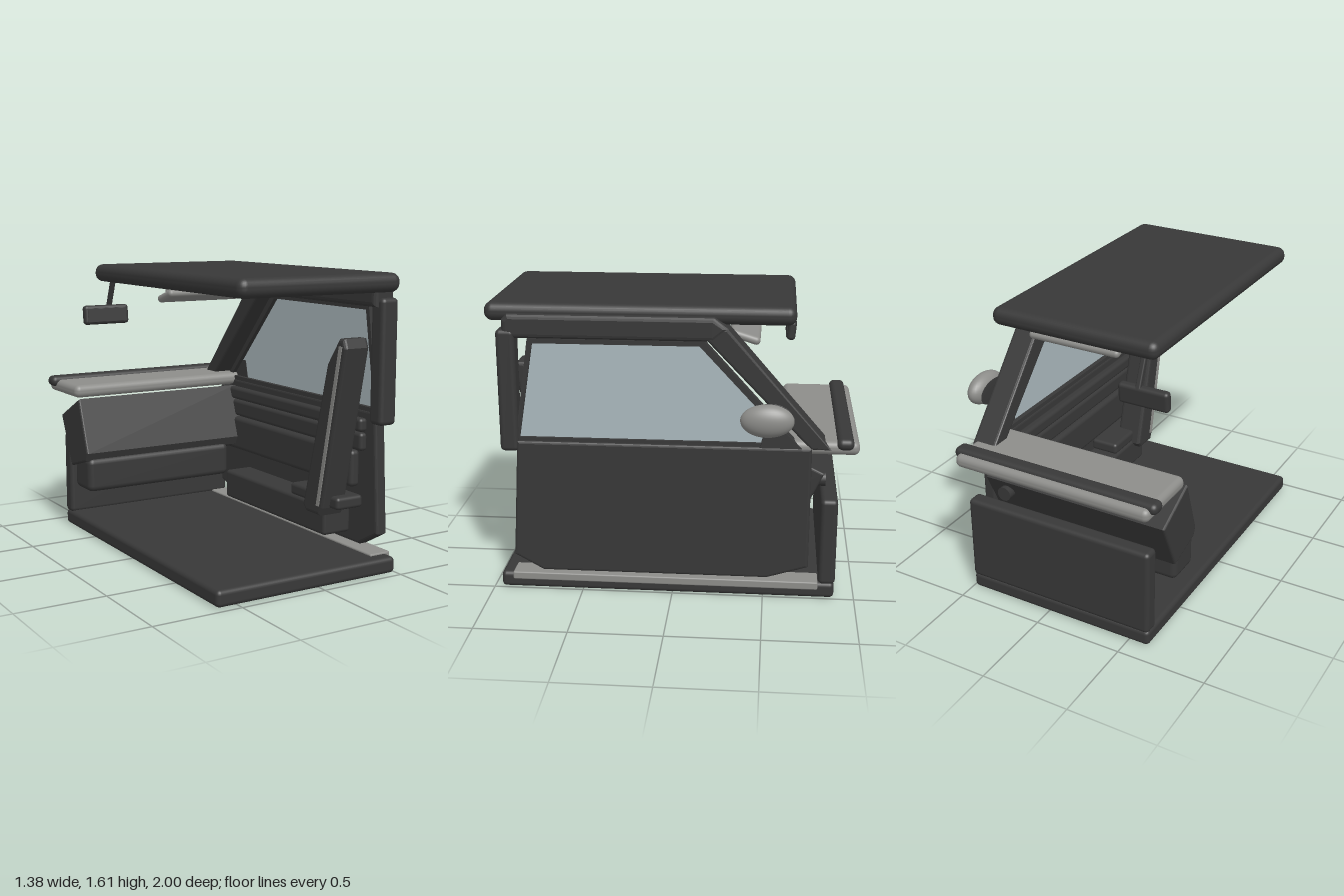
import * as THREE from 'three';
import { RoundedBoxGeometry } from 'three/addons/geometries/RoundedBoxGeometry.js';

const mat = (name, color, side = THREE.FrontSide) => {
  const m = new THREE.MeshStandardMaterial({ color, side });
  m.name = name;
  return m;
};

export function createModel() {
  const root = new THREE.Group();
  root.name = 'vehicleCabin';
  const dark = mat('charcoal', 0x383838);
  const grey = mat('warmGrey', 0x8d8d8a);
  const glass = mat('paleGlass', 0xabb9be, THREE.DoubleSide);

  const add = (name, geo, m) => {
    const mesh = new THREE.Mesh(geo, m);
    mesh.name = name;
    root.add(mesh);
    return mesh;
  };

  // Rounded box from min/max limits on each axis
  const slab = (name, m, [x0, x1], [y0, y1], [z0, z1], r = 0.02) => {
    const w = x1 - x0, h = y1 - y0, d = z1 - z0;
    const mesh = add(name, new RoundedBoxGeometry(w, h, d, 3, Math.min(r, w / 2.01, h / 2.01, d / 2.01)), m);
    mesh.position.set((x0 + x1) / 2, (y0 + y1) / 2, (z0 + z1) / 2);
    return mesh;
  };

  // Side profile of [z, y] points extruded across x, with bevelled edges
  const profile = (name, m, pts, x0, x1, bevel = 0, holePts) => {
    const v = (list) => list.map(([z, y]) => new THREE.Vector2(-z, y));
    const shape = new THREE.Shape(v(pts));
    if (holePts) shape.holes.push(new THREE.Path(v(holePts)));
    const geo = new THREE.ExtrudeGeometry(shape, {
      depth: x1 - x0 - 2 * bevel, bevelEnabled: bevel > 0,
      bevelSize: bevel, bevelThickness: bevel, bevelOffset: -bevel, bevelSegments: 3,
    });
    geo.rotateY(Math.PI / 2);
    geo.translate(x0 + bevel, 0, 0);
    return add(name, geo, m);
  };

  // Round rod between two points
  const rod = (name, m, a, b, r) => {
    const p = new THREE.Vector3(...a), q = new THREE.Vector3(...b), d = q.clone().sub(p);
    const mesh = add(name, new THREE.CylinderGeometry(r, r, d.length(), 20), m);
    mesh.position.copy(p).add(q).multiplyScalar(0.5);
    mesh.quaternion.setFromUnitVectors(new THREE.Vector3(0, 1, 0), d.normalize());
    return mesh;
  };

  // Floor, firewall and sill
  slab('floor', dark, [-0.62, 0.495], [0, 0.09], [-0.89, 0.96], 0.025);
  slab('firewall', dark, [-0.62, 0.495], [0.08, 0.575], [-0.895, -0.802], 0.025);
  slab('sillPlate', grey, [0.38, 0.512], [0.055, 0.1], [-0.8, 0.89], 0.008);

  // Roof and its side structure
  slab('roof', dark, [-0.517, 0.462], [1.512, 1.612], [-0.645, 1], 0.045);
  profile('roofRail', dark,
    [[0.9, 1.43], [0.9, 1.53], [0.87, 1.56], [-0.22, 1.56], [-0.3, 1.5], [-0.22, 1.43]], 0.36, 0.495, 0.025);
  slab('rearPillar', dark, [0.39, 0.5], [0.805, 1.478], [0.83, 0.932], 0.025);
  profile('windscreenPillar', dark,
    [[-0.17, 1.45], [-0.2, 1.5], [-0.29, 1.505], [-0.855, 0.855], [-0.74, 0.855]], 0.35, 0.492, 0.015);

  // Door with window
  profile('doorPanel', dark,
    [[0.84, 0.865], [0.88, 0.2], [0.72, 0.11], [-0.52, 0.11], [-0.745, 0.18], [-0.745, 0.865]], 0.425, 0.495, 0.015);
  const pane = [[0.74, 1.405], [0.825, 0.885], [-0.63, 0.885], [-0.145, 1.405]];
  profile('windowFrame', dark,
    [[0.765, 1.43], [0.85, 0.86], [-0.69, 0.86], [-0.17, 1.43]], 0.43, 0.48, 0, pane);
  profile('windowGlass', glass, pane, 0.457, 0.463);

  // Inner door trim, armrest and pocket
  slab('upperDoorTrim', dark, [0.375, 0.43], [0.75, 0.825], [-0.68, 0.78]);
  slab('middleDoorTrim', dark, [0.38, 0.43], [0.645, 0.745], [-0.68, 0.78]);
  slab('doorArmrest', dark, [0.365, 0.43], [0.435, 0.64], [-0.6, 0.72], 0.025);
  slab('doorPocket', dark, [0.248, 0.43], [0.16, 0.33], [-0.4, 0.64]);
  slab('seatRail', dark, [0.255, 0.43], [0.325, 0.395], [0.3, 0.75]);

  // Seat back with piping along its inner side
  profile('seatBack', dark,
    [[0.66, 0.285], [0.68, 0.33], [0.87, 1.22], [0.85, 1.27], [0.81, 1.27], [0.71, 1.13], [0.5, 0.32], [0.53, 0.285]],
    0.2, 0.36, 0.02);
  profile('seatPiping', grey, [[0.66, 0.34], [0.845, 1.23], [0.82, 1.23], [0.635, 0.34]], 0.195, 0.21);

  // Dashboard
  profile('dashboard', dark,
    [[-0.818, 0.7], [-0.56, 0.83], [-0.45, 0.52], [-0.47, 0.47], [-0.68, 0.41]], -0.667, 0.425, 0.012);
  slab('kneeBolster', dark, [-0.655, 0.3], [0.285, 0.485], [-0.66, -0.45], 0.035);
  slab('dashboardTop', grey, [-0.667, 0.488], [0.828, 0.903], [-0.997, -0.59], 0.033);
  slab('windscreenSeal', dark, [-0.695, 0.513], [0.862, 0.925], [-0.965, -0.875], 0.03);
  rod('steeringColumn', dark, [0.3, 0.63, -0.6], [0.3, 0.63, -0.83], 0.04);

  // Interior mirror
  const arm = slab('mirrorArm', dark, [-0.435, -0.405], [1.34, 1.53], [-0.625, -0.6], 0.008);
  arm.rotation.x = 0.38;
  const mirror = slab('interiorMirror', dark, [-0.59, -0.305], [1.257, 1.37], [-0.655, -0.605], 0.02);
  mirror.rotation.x = -0.1;
  const face = slab('interiorMirrorFace', dark, [-0.573, -0.322], [1.272, 1.355], [-0.607, -0.6], 0.003);
  face.rotation.x = -0.1;

  // Sun visor
  const visor = slab('sunVisor', grey, [-0.195, 0.357], [1.405, 1.45], [-0.46, -0.29], 0.022);
  visor.rotation.x = -0.3;
  rod('visorClip', grey, [-0.153, 1.44, -0.4], [-0.153, 1.53, -0.4], 0.011);

  // Door mirror
  profile('doorMirrorBase', dark, [[-0.5, 0.99], [-0.47, 0.865], [-0.69, 0.865], [-0.56, 0.99]], 0.455, 0.5);
  rod('doorMirrorStem', grey, [0.47, 0.99, -0.51], [0.6, 1.02, -0.51], 0.024);
  const shell = add('doorMirrorShell', new THREE.SphereGeometry(1, 32, 20), grey);
  shell.scale.set(0.064, 0.088, 0.14);
  shell.position.set(0.626, 1.056, -0.505);
  const disc = add('doorMirrorFace', new THREE.SphereGeometry(1, 32, 12), dark);
  disc.scale.set(0.004, 0.072, 0.122);
  disc.position.set(0.558, 1.056, -0.515);

  return root;
}
